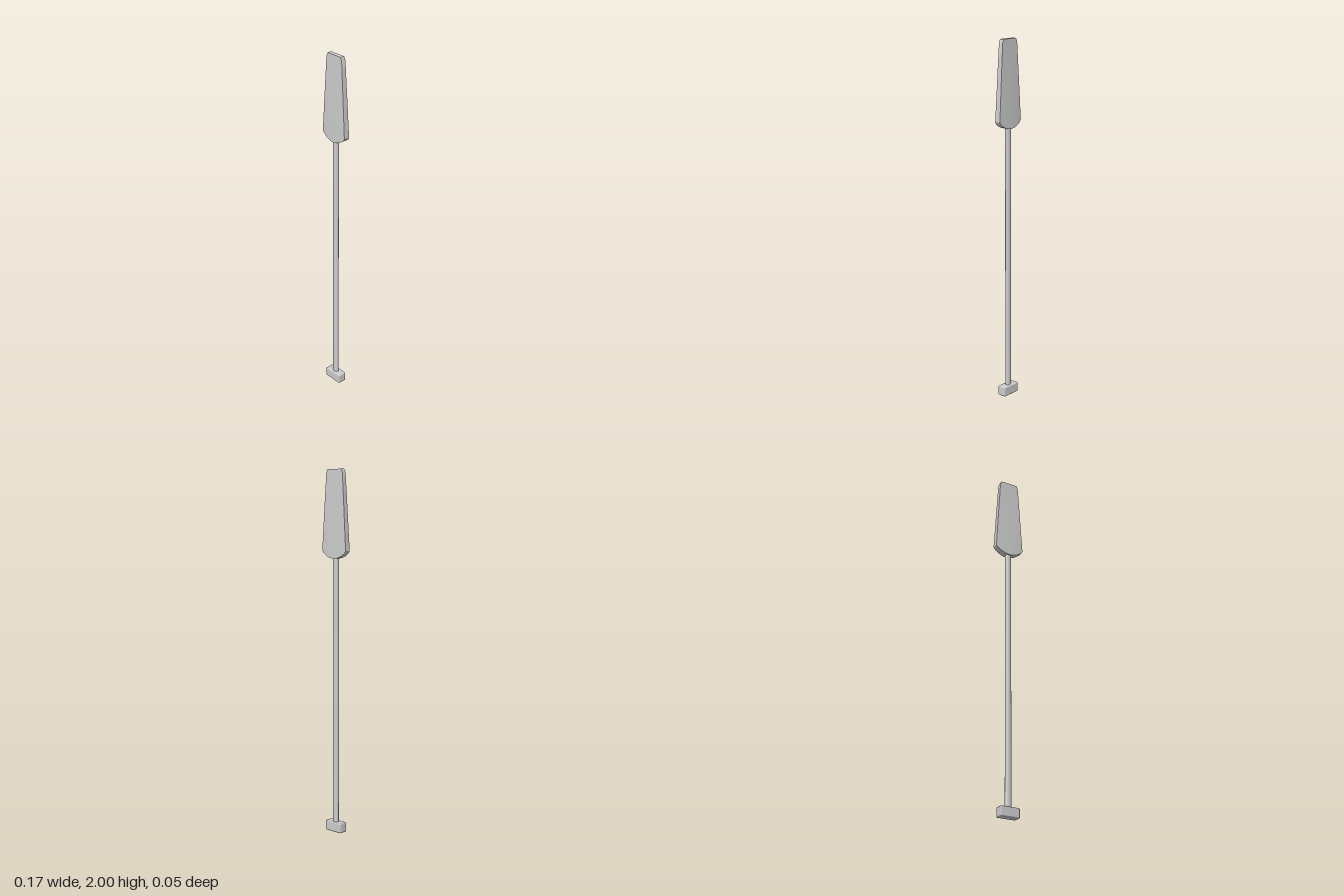
import * as THREE from 'three';
import { toCreasedNormals } from 'three/addons/utils/BufferGeometryUtils.js';
import { RoundedBoxGeometry } from 'three/addons/geometries/RoundedBoxGeometry.js';

const material = new THREE.MeshStandardMaterial({ color: 0xcccccc });

function addPart(group, name, geometry, y = 0) {
  const mesh = new THREE.Mesh(geometry, material);
  mesh.name = name;
  mesh.position.y = y;
  group.add(mesh);
  return mesh;
}

// Tapered blade: a subdivided box reshaped row by row, thicker along its middle
function bladeGeometry() {
  // [fraction of height, half width]
  const rows = [[0, 0.079], [0.025, 0.085], [0.25, 0.0785], [0.5, 0.0715], [0.75, 0.064], [0.955, 0.058], [1, 0.049]];
  const last = rows.length - 1;
  const geometry = new THREE.BoxGeometry(2, last, 2, 10, last, 1);
  const p = geometry.attributes.position;
  for (let i = 0; i < p.count; i++) {
    const u = p.getX(i);
    const [t, halfWidth] = rows[Math.round(p.getY(i) + last / 2)];
    const bottom = 1.523 + 0.032 * u * u;
    const edge = THREE.MathUtils.lerp(0.0165, 0.0125, t);
    const middle = THREE.MathUtils.lerp(0.021, 0.0125, t);
    const thickness = edge + (middle - edge) * (1 - u * u);
    p.setXYZ(i, u * halfWidth, THREE.MathUtils.lerp(bottom, 2, t), Math.sign(p.getZ(i)) * thickness);
  }
  return toCreasedNormals(geometry, 0.5);
}

export function createModel() {
  const group = new THREE.Group();
  group.name = 'paddle';

  addPart(group, 'blade', bladeGeometry());

  // Oval shaft running from the grip into the blade
  const shaft = addPart(group, 'shaft', new THREE.CylinderGeometry(1, 1, 1.5, 16), 0.79);
  shaft.scale.set(0.018, 1, 0.014);

  // Cross grip at the end of the shaft
  addPart(group, 'grip', new RoundedBoxGeometry(0.114, 0.055, 0.051, 2, 0.006), 0.0275);

  return group;
}
